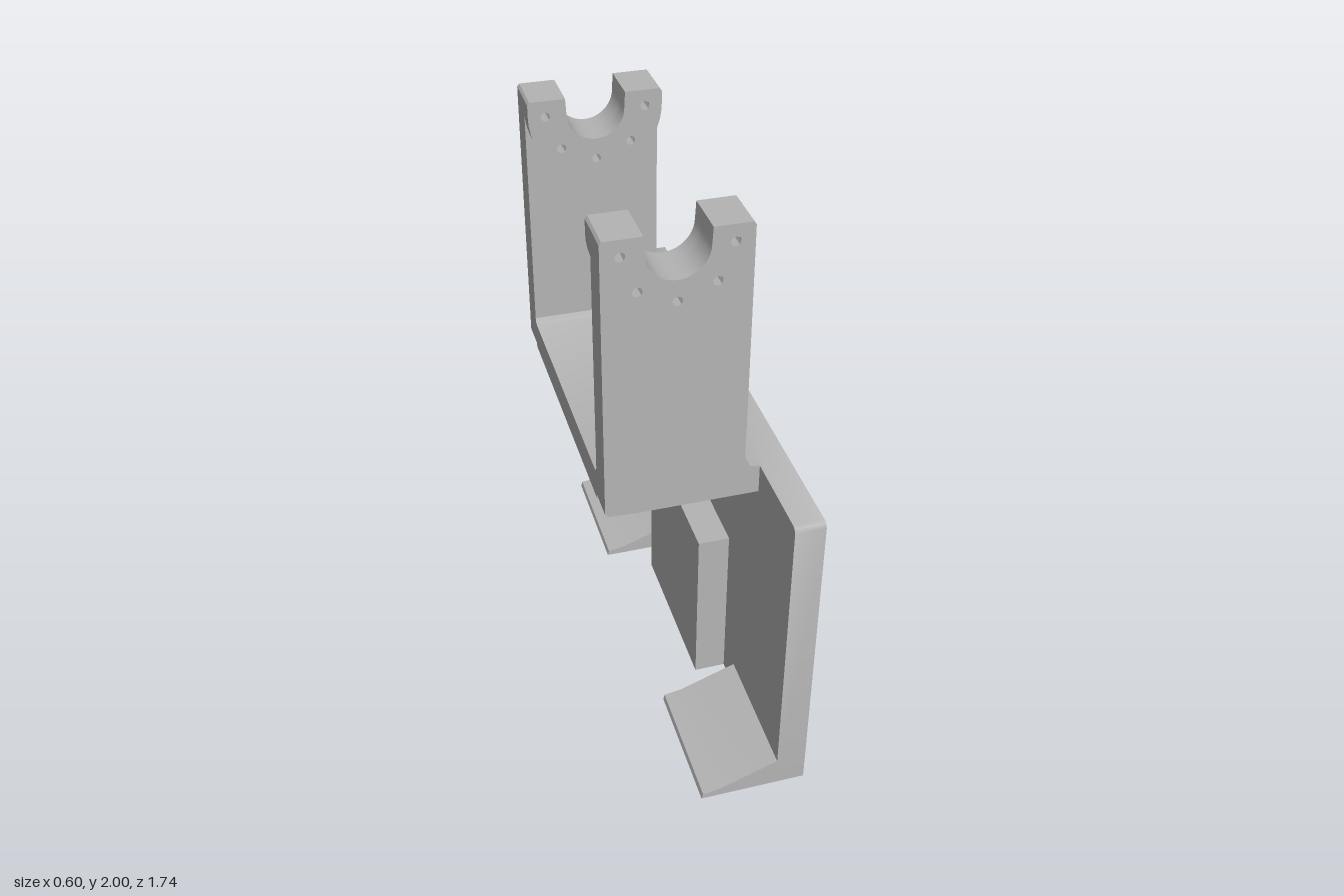
import * as THREE from 'three';
import { toCreasedNormals } from 'three/addons/utils/BufferGeometryUtils.js';

const CX = -0.075, CY = 1.945; // centre of the bearing cradle

export function createModel() {
  const model = new THREE.Group();
  model.name = 'mountingBracket';
  const grey = new THREE.MeshStandardMaterial({ color: 0xb4b4b4 });
  grey.name = 'machined grey';

  const add = (name, geometry) => {
    const mesh = new THREE.Mesh(geometry, grey);
    mesh.name = name;
    model.add(mesh);
    return mesh;
  };
  const shapeOf = (points) => new THREE.Shape(points.map(([x, y]) => new THREE.Vector2(x, y)));
  // Extrude an x-y profile between two z values
  const alongZ = (shape, z0, z1) => {
    const g = new THREE.ExtrudeGeometry(shape, { depth: z1 - z0, bevelEnabled: false, curveSegments: 20 });
    g.translate(0, 0, z0);
    return toCreasedNormals(g, 0.5);
  };
  // Extrude a z-y profile (symmetric in z) between two x values
  const alongX = (shape, x0, x1) => alongZ(shape, x0, x1).rotateY(Math.PI / 2);
  const box = (name, x0, x1, y0, y1, z0, z1) =>
    add(name, new THREE.BoxGeometry(x1 - x0, y1 - y0, z1 - z0))
      .position.set((x0 + x1) / 2, (y0 + y1) / 2, (z0 + z1) / 2);

  // Arc points around the cradle centre
  const arc = (r, a0, a1, n) => Array.from({ length: n + 1 }, (_, i) => {
    const a = a0 + (a1 - a0) * i / n;
    return [CX + r * Math.cos(a), CY + r * Math.sin(a)];
  });
  const notch = [[CX + 0.1, 2], ...arc(0.097, 0, -Math.PI, 20), [CX - 0.1, 2]];
  // Five bolt holes spread around the lower half of the cradle
  const drill = (shape) => {
    for (const [x, y] of arc(0.167, 0, -Math.PI, 4)) {
      const hole = new THREE.Path();
      for (let i = 0; i < 8; i++) {
        const a = -i * Math.PI / 4;
        const px = x + 0.016 * Math.cos(a), py = y + 0.016 * Math.sin(a);
        if (i) hole.lineTo(px, py); else hole.moveTo(px, py);
      }
      hole.closePath();
      shape.holes.push(hole);
    }
    return shape;
  };

  // Large back plate with clipped upper corners
  add('mainPlate', alongX(shapeOf([
    [-0.87, 0], [0.87, 0], [0.87, 1.115], [0.864, 1.126], [0.853, 1.132],
    [-0.853, 1.132], [-0.864, 1.126], [-0.87, 1.115],
  ]), 0.2, 0.3));

  // Shelf with small fillets rising into the uprights
  add('shelf', alongX(shapeOf([
    [-0.45, 1.03], [0.45, 1.03], [0.45, 1.152], [0.444, 1.138], [0.43, 1.132],
    [-0.43, 1.132], [-0.444, 1.138], [-0.45, 1.152],
  ]), -0.3, 0.15));
  box('shelfJoint', 0.15, 0.2, 1.03, 1.132, -0.45, 0.45);

  // Raised pad on the plate
  box('centrePad', 0.09, 0.2, 0, 0.62, -0.3, 0.3);

  const upright = drill(shapeOf([
    [-0.29, 1.035], [-0.2, 1.03], [0.2, 1.03], [0.2, 1.132], [0.168, 1.138], [0.154, 1.15], [0.15, 1.17],
    [0.15, 1.99], [0.143, 2], ...notch, [-0.293, 2], [-0.3, 1.99], [-0.3, 1.045],
  ]));
  const boss = drill(shapeOf([
    ...arc(0.225, -Math.PI, 0, 28), [0.15, 1.99], [0.143, 2], ...notch, [-0.293, 2], [-0.3, 1.99],
  ]));
  const foot = shapeOf([[-0.065, 0], [0.2, 0], [0.2, 0.105], [0, 0.03], [-0.06, 0.02]]);

  // Mirrored pairs: upright, inner boss and wedge foot
  for (const [side, s] of [['left', 1], ['right', -1]]) {
    const span = (a, b) => (s > 0 ? [a, b] : [-b, -a]);
    add(side + 'Upright', alongZ(upright, ...span(0.45, 0.553)));
    add(side + 'CradleBoss', alongZ(boss, ...span(0.392, 0.45)));
    add(side + 'WedgeFoot', alongZ(foot, ...span(0.405, 0.87)));
  }
  return model;
}
